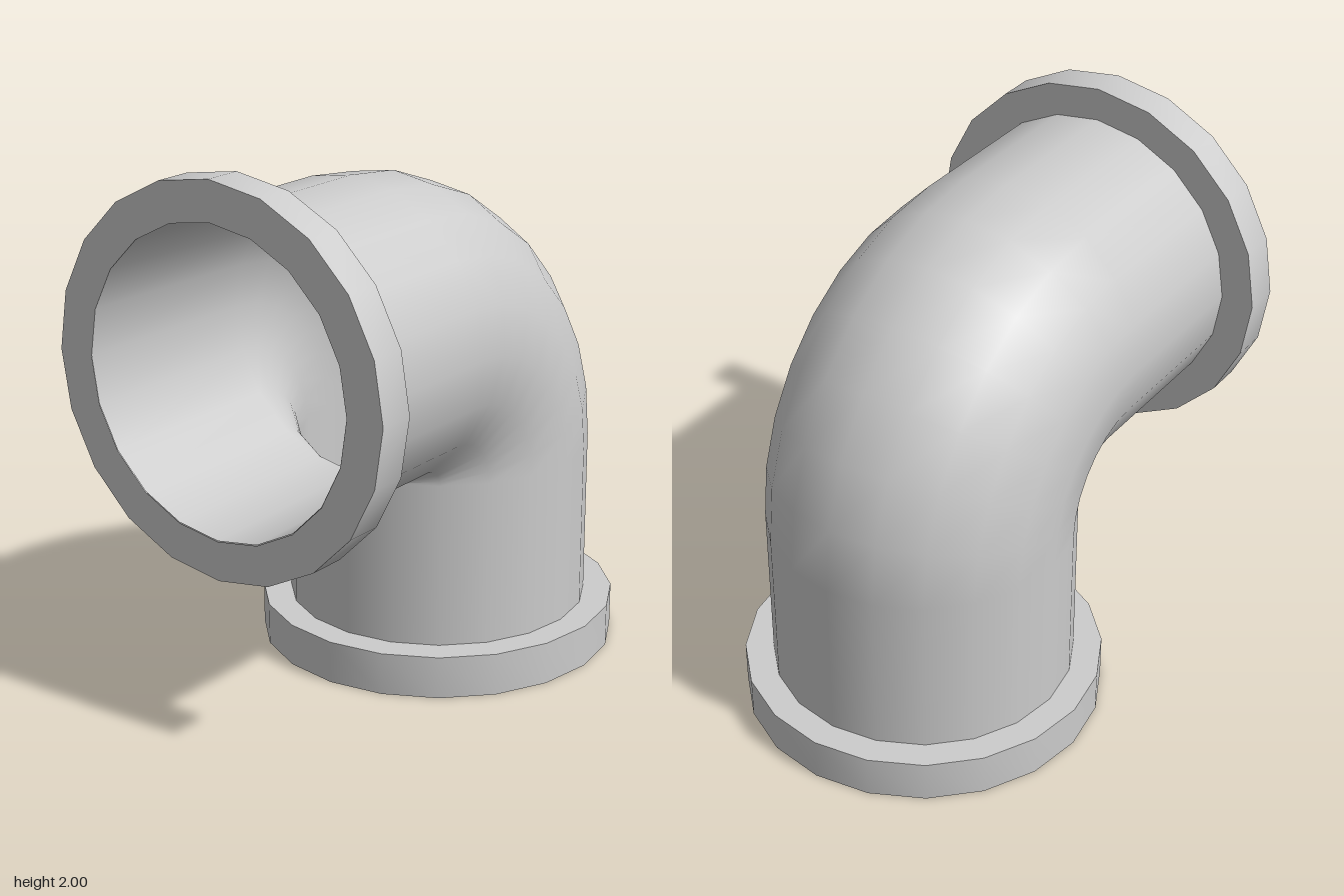
import * as THREE from 'three';
import { toCreasedNormals } from 'three/addons/utils/BufferGeometryUtils.js';

const SIDES = 20, BEND_STEPS = 7;
const BEND = { x: -0.23, y: 0.78, radius: 0.53 };
const material = new THREE.MeshStandardMaterial({ color: 0xcccccc, side: THREE.DoubleSide });

// Stations along the elbow centreline: straight up, quarter bend, straight to -x
function elbowStations(yStart, xEnd, rStart, rEnd) {
  const stations = [{ x: BEND.x + BEND.radius, y: yStart, angle: 0, r: rStart }];
  for (let i = 0; i <= BEND_STEPS; i++) {
    const angle = (i / BEND_STEPS) * Math.PI / 2;
    stations.push({
      x: BEND.x + BEND.radius * Math.cos(angle),
      y: BEND.y + BEND.radius * Math.sin(angle),
      angle, r: rStart,
    });
  }
  stations.push({ x: xEnd, y: BEND.y + BEND.radius, angle: Math.PI / 2, r: rEnd });
  return stations;
}

// Smooth tube through the stations; inward flips it into a bore
function sweep(name, stations, inward) {
  const position = [], normal = [], index = [];
  const sign = inward ? -1 : 1, row = SIDES + 1;
  stations.forEach(({ x, y, angle, r }, i) => {
    for (let j = 0; j <= SIDES; j++) {
      const phi = (j / SIDES) * Math.PI * 2;
      const nx = Math.cos(phi) * Math.cos(angle);
      const ny = Math.cos(phi) * Math.sin(angle);
      const nz = Math.sin(phi);
      position.push(x + r * nx, y + r * ny, r * nz);
      normal.push(sign * nx, sign * ny, sign * nz);
      if (i < stations.length - 1 && j < SIDES) {
        const a = i * row + j, b = a + row, c = a + 1, d = b + 1;
        if (inward) index.push(a, c, b, b, c, d);
        else index.push(a, b, c, b, d, c);
      }
    }
  });
  const geometry = new THREE.BufferGeometry();
  geometry.setAttribute('position', new THREE.Float32BufferAttribute(position, 3));
  geometry.setAttribute('normal', new THREE.Float32BufferAttribute(normal, 3));
  geometry.setIndex(index);
  const mesh = new THREE.Mesh(geometry, material);
  mesh.name = name;
  return mesh;
}

// Collar ring standing on y = 0; the bore closes its inner side
function flange(name, inner, outer, height) {
  const profile = [[inner, 0], [outer, 0], [outer, height], [inner, height]]
    .map(([r, y]) => new THREE.Vector2(r, y));
  const geometry = toCreasedNormals(new THREE.LatheGeometry(profile, SIDES), Math.PI / 6);
  const mesh = new THREE.Mesh(geometry, material);
  mesh.name = name;
  return mesh;
}

export function createModel() {
  const group = new THREE.Group();
  group.name = 'pipeElbow';

  // Outer wall and hollow inside
  group.add(sweep('elbowPipe', elbowStations(0.16, -0.835, 0.566, 0.566), false));
  group.add(sweep('bore', elbowStations(0, -0.975, 0.53, 0.55), true));

  // End collars
  const bottomFlange = flange('bottomFlange', 0.53, 0.672, 0.16);
  bottomFlange.position.x = 0.3;
  group.add(bottomFlange);

  const sideFlange = flange('sideFlange', 0.55, 0.693, 0.14);
  sideFlange.rotation.z = Math.PI / 2;
  sideFlange.position.set(-0.835, 1.307, 0);
  group.add(sideFlange);

  return group;
}
